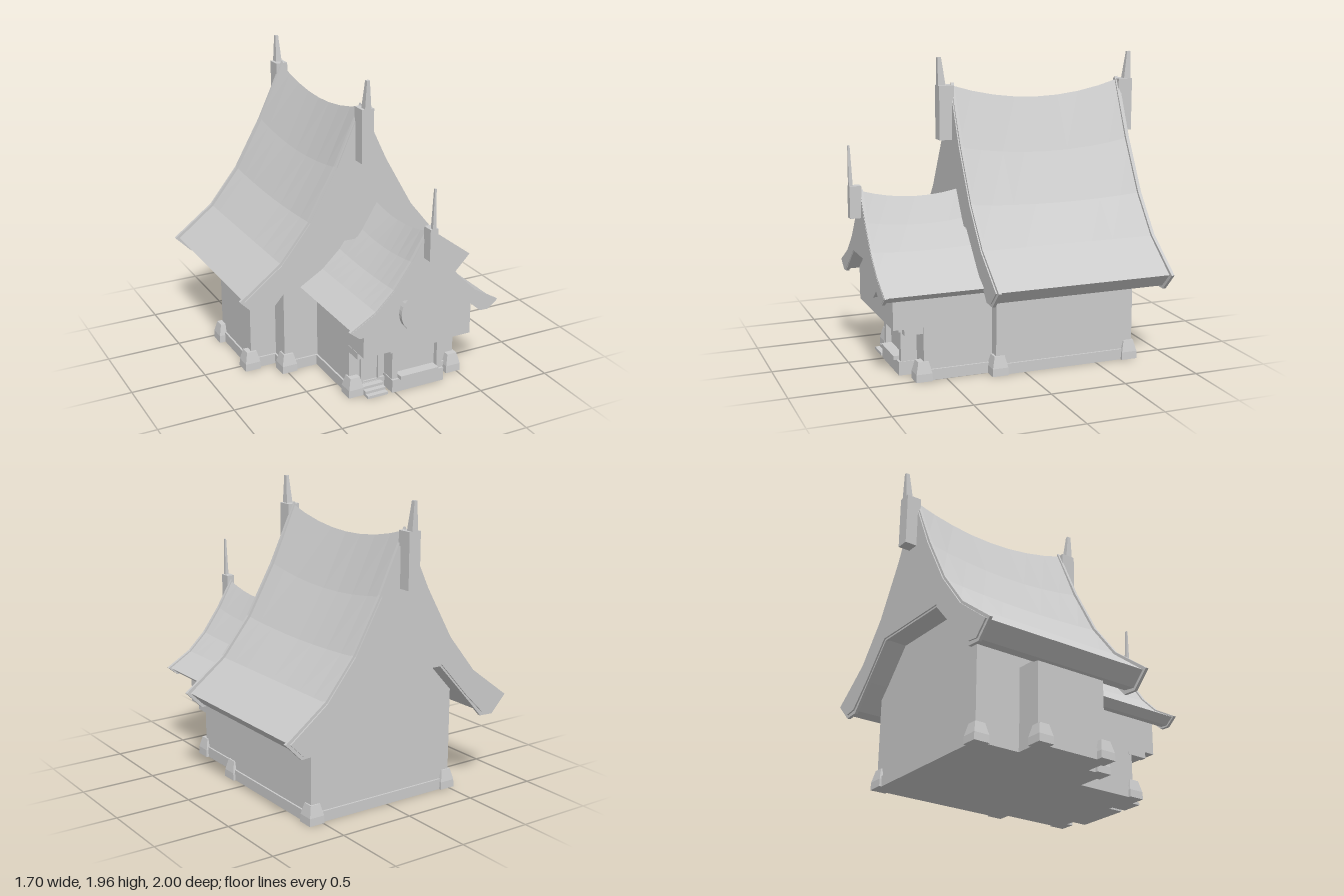
import * as THREE from 'three';

const mat = new THREE.MeshStandardMaterial({ color: 0xcccccc, flatShading: true });

// Half sections from ridge to eave tip and back under the eave
const ROOF = [[0, 1.78], [0.17, 1.4], [0.36, 1.06], [0.56, 0.81], [0.82, 0.61], [0.73, 0.52], [0.65, 0.53], [0.5, 0.68], [0.3, 0.905]];
const TRIM = [[0, 1.795], [0.183, 1.405], [0.373, 1.068], [0.57, 0.823], [0.85, 0.613], [0.74, 0.5], [0.642, 0.505], [0.488, 0.678], [0.293, 0.893]];

export function createModel() {
  const model = new THREE.Group();

  function add(name, geo, parent = model) {
    const m = new THREE.Mesh(geo, mat);
    m.name = name;
    parent.add(m);
    return m;
  }
  // Box given by its limits
  function box(name, x0, x1, y0, y1, z0, z1) {
    const m = add(name, new THREE.BoxGeometry(x1 - x0, y1 - y0, z1 - z0));
    m.position.set((x0 + x1) / 2, (y0 + y1) / 2, (z0 + z1) / 2);
    return m;
  }
  // Section in x, y extruded between two z values
  function slab(pts, z0, z1, steps = 1) {
    const shape = new THREE.Shape(pts.map(p => new THREE.Vector2(p[0], p[1])));
    const g = new THREE.ExtrudeGeometry(shape, { depth: z1 - z0, steps, bevelEnabled: false });
    return g.translate(0, 0, z0);
  }
  const mirror = half => [...half, ...half.slice(1).reverse().map(([x, y]) => [-x, y])];

  // Swept roof whose ridge sags between its ends
  function roof(name, cx, fit, z0, z1, sagZ0, sag, trims) {
    const g = new THREE.Group();
    g.name = name;
    g.position.x = cx;
    const body = slab(mirror(ROOF.map(fit)), z0, z1, 8);
    const p = body.attributes.position;
    const top = fit([0, 1.78])[1], low = fit([0, 0.81])[1];
    for (let i = 0; i < p.count; i++) {
      const t = (p.getZ(i) - sagZ0) / (z1 - sagZ0) * 2 - 1;
      const w = THREE.MathUtils.clamp((p.getY(i) - low) / (top - low), 0, 1);
      p.setY(i, p.getY(i) - sag * Math.max(0, 1 - t * t) * w);
    }
    body.computeVertexNormals();
    add('roofSkin', body, g);
    for (const z of trims) add('gableTrim', slab(mirror(TRIM.map(fit)), z, z + 0.02), g);
    model.add(g);
  }
  roof('mainRoof', 0, p => p, -0.92, 0.29, -0.92, 0.1, [-0.91, 0.262]);
  roof('porchRoof', 0.115, ([x, y]) => [x * 0.62, 0.59 + (y - 0.61) * 0.483], 0.2, 0.93, 0.17, 0.06, [0.908]);

  // Ridge finials: a block with a tapered spike on its outer side
  function finial(cx, z, dir, w, d, y0, y1, y2, sw, sd) {
    const a = Math.min(z, z - dir * d), b = Math.max(z, z - dir * d);
    box('finialBlock', cx - w / 2, cx + w / 2, y0, y1, a, b);
    const geo = new THREE.BoxGeometry(sw, y2 - y1, sd);
    const p = geo.attributes.position;
    for (let i = 0; i < p.count; i++) {
      if (p.getY(i) > 0) {
        p.setX(i, p.getX(i) * 0.45);
        if (p.getZ(i) * dir < 0) p.setZ(i, 0);
      }
    }
    geo.computeVertexNormals();
    add('finialSpike', geo).position.set(cx, (y1 + y2) / 2, z - dir * sd / 2);
  }
  finial(0, 0.375, 1, 0.084, 0.1, 1.43, 1.78, 1.96, 0.044, 0.05);
  finial(0, -1, -1, 0.084, 0.1, 1.43, 1.78, 1.96, 0.044, 0.05);
  finial(0.115, 1, 1, 0.054, 0.075, 0.985, 1.19, 1.445, 0.024, 0.025);

  // Walls
  add('mainWalls', slab([[-0.51, 0], [0.57, 0], [0.57, 0.62], [0.31, 0.91], [-0.31, 0.91], [-0.51, 0.68]], -0.76, 0.19));
  box('sideWing', -0.69, -0.5, 0, 0.54, -0.45, 0.05);
  box('porchWalls', -0.27, 0.5, 0, 0.56, 0.15, 0.645);
  add('porchGable', slab([[-0.27, 0.345], [0.5, 0.345], [0.5, 0.57], [0.31, 0.75], [-0.08, 0.75], [-0.27, 0.57]], 0.6, 0.84));

  // Plinths
  box('mainPlinth', -0.522, 0.582, 0, 0.07, -0.772, 0.202);
  box('wingPlinth', -0.702, -0.5, 0, 0.07, -0.462, 0.062);
  box('porchPlinth', -0.282, 0.512, 0, 0.07, 0.16, 0.66);

  // Corner footings: square block, tapering towards the top
  const footGeo = new THREE.LatheGeometry([[0, 0], [0.054, 0], [0.052, 0.05], [0.034, 0.125], [0, 0.125]]
    .map(([r, y]) => new THREE.Vector2(r * Math.SQRT2, y)), 4, Math.PI / 4);
  const corners = [[0.545, 0.17], [0.545, -0.735], [-0.487, 0.17], [-0.487, -0.735],
    [-0.69, -0.43], [-0.69, 0.03], [-0.245, 0.65], [0.475, 0.65]];
  for (const [x, z] of corners) add('cornerFooting', footGeo).position.set(x, 0, z);

  // Round gable disc
  const disc = add('gableDisc', new THREE.CylinderGeometry(0.137, 0.137, 0.05, 32));
  disc.rotation.x = Math.PI / 2;
  disc.position.set(0.113, 0.597, 0.847);

  // Brackets carrying the overhang
  for (const x of [-0.25, 0.465]) {
    box('bracket', x - 0.022, x + 0.022, 0.3, 0.345, 0.62, 0.765);
  }

  // Bay window
  box('bayBase', -0.02, 0.36, 0, 0.09, 0.62, 0.765);
  box('bayWall', 0.01, 0.33, 0.08, 0.345, 0.62, 0.715);
  box('baySill', 0.03, 0.31, 0.09, 0.115, 0.62, 0.785);
  box('bayBeam', -0.04, 0.38, 0.29, 0.32, 0.62, 0.77);
  for (const x of [0.005, 0.335]) box('bayPost', x - 0.02, x + 0.02, 0, 0.345, 0.64, 0.75);

  // Arched door with frame
  const arch = (r, top) => {
    const s = new THREE.Shape();
    s.moveTo(-r, 0.06);
    s.lineTo(r, 0.06);
    s.lineTo(r, top - r);
    s.absarc(0, top - r, r, 0, Math.PI, false);
    return s;
  };
  const frame = arch(0.068, 0.31);
  frame.holes.push(arch(0.054, 0.296));
  const opts = { depth: 0.02, bevelEnabled: false, curveSegments: 10 };
  add('doorFrame', new THREE.ExtrudeGeometry(frame, opts)).position.set(-0.125, 0, 0.645);
  add('door', new THREE.ExtrudeGeometry(arch(0.055, 0.297), { ...opts, depth: 0.008 })).position.set(-0.125, 0, 0.642);

  // Door steps
  for (let i = 0; i < 3; i++) box('doorStep', -0.195, -0.05, 0, 0.018 * (i + 1), 0.62, 0.765 - i * 0.033);

  return model;
}
